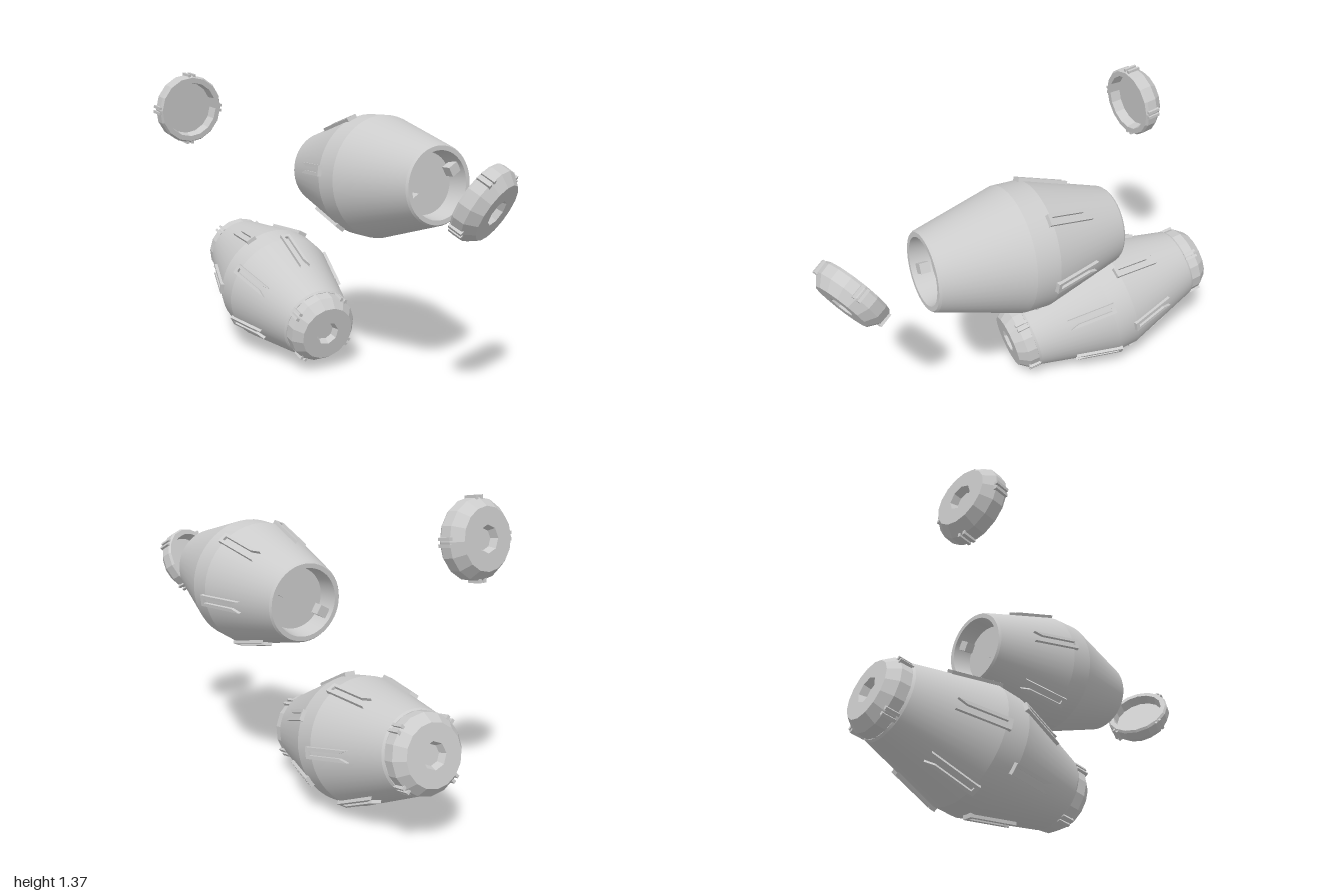
import * as THREE from 'three';
import { toCreasedNormals } from 'three/addons/utils/BufferGeometryUtils.js';

const rad = THREE.MathUtils.degToRad;
const material = new THREE.MeshStandardMaterial({ color: 0xcccccc });
const facetedMaterial = new THREE.MeshStandardMaterial({ color: 0xcccccc, flatShading: true });

// Barrel dimensions along its axis (local z)
const HALF = 0.44, BAND = 0.055, R_MID = 0.28, R_END = 0.175;
const SLOPE = Math.atan2(R_MID - R_END, HALF - BAND);

function addMesh(parent, name, geometry, mat = material) {
  const mesh = new THREE.Mesh(geometry, mat);
  mesh.name = name;
  parent.add(mesh);
  return mesh;
}

// Lathe around local z from [radius, z] pairs
function turned(points, sides) {
  return new THREE.LatheGeometry(points.map(p => new THREE.Vector2(...p)), sides).rotateX(Math.PI / 2);
}

// Point local z along dir, then roll around it
function pose(object, position, dir, rollDegrees) {
  const z = new THREE.Vector3(...dir).normalize();
  const x = new THREE.Vector3(0, 1, 0).cross(z).normalize();
  const y = z.clone().cross(x);
  object.quaternion.setFromRotationMatrix(new THREE.Matrix4().makeBasis(x, y, z));
  object.rotateZ(rad(rollDegrees));
  object.position.set(...position);
}

// Raised channel with a closed wide end and a fishtail narrow end
function gripGeometry() {
  const outline = [
    [-0.025, -0.118], [0.025, -0.118], [0.025, 0.118], [0.01, 0.075],
    [0.01, -0.1], [-0.01, -0.1], [-0.01, 0.075], [-0.025, 0.118],
  ];
  const shape = new THREE.Shape(outline.map(p => new THREE.Vector2(...p)));
  return new THREE.ExtrudeGeometry(shape, { depth: 0.03, bevelEnabled: false }).translate(0, 0, -0.018);
}

// Six grips around one half; side is +1 for the front half, -1 for the back
function addGrips(parent, side, startDegrees) {
  const s = 0.15;
  const r = R_MID - (s - BAND) * Math.tan(SLOPE);
  for (let i = 0; i < 6; i++) {
    const a = rad(startDegrees + i * 60);
    const radial = new THREE.Vector3(Math.cos(a), Math.sin(a), 0);
    const axis = new THREE.Vector3(0, 0, side);
    const along = axis.clone().multiplyScalar(Math.cos(SLOPE)).addScaledVector(radial, -Math.sin(SLOPE));
    const out = radial.clone().multiplyScalar(Math.cos(SLOPE)).addScaledVector(axis, Math.sin(SLOPE));
    const grip = addMesh(parent, 'gripChannel', gripGeometry(), facetedMaterial);
    const basis = new THREE.Matrix4().makeBasis(along.clone().cross(out), along, out);
    grip.quaternion.setFromRotationMatrix(basis);
    grip.position.copy(radial).multiplyScalar(r).addScaledVector(axis, s);
  }
}

function createBarrel(name, gripFront) {
  const barrel = new THREE.Group();
  barrel.name = name;
  // Double-tapered shell with a recess at both ends
  const half = [[0, HALF - 0.09], [0.135, HALF - 0.09], [0.148, HALF], [0.168, HALF], [R_END, HALF - 0.01], [R_MID, BAND]];
  const profile = [...half.map(([r, z]) => [r, -z]), ...half.reverse()];
  addMesh(barrel, 'barrelShell', toCreasedNormals(turned(profile, 48), 0.2));
  // Locking lugs inside the recesses
  for (const side of [1, -1]) {
    for (const degrees of [38, 218]) {
      const a = rad(degrees);
      const lug = addMesh(barrel, 'lockingLug', new THREE.BoxGeometry(0.05, 0.045, 0.045));
      lug.position.set(0.12 * Math.cos(a), 0.12 * Math.sin(a), side * (HALF - 0.045));
      lug.rotation.z = a;
    }
  }
  addGrips(barrel, -1, 0);
  if (gripFront) addGrips(barrel, 1, 30);
  return barrel;
}

// Hollow cap: open rim at z = 0, outer face at z = 0.105
function createCap(name) {
  const cap = new THREE.Group();
  cap.name = name;
  const shell = [[0, 0.05], [0.128, 0.05], [0.135, 0], [0.16, 0], [0.168, 0.012], [0.166, 0.06], [0.13, 0.105], [0.066, 0.105]];
  addMesh(cap, 'capShell', turned(shell, 16), facetedMaterial);
  // Octagonal socket in the outer face
  addMesh(cap, 'capSocket', turned([[0.076, 0.105], [0.057, 0.105], [0.044, 0.075], [0, 0.075]], 8), facetedMaterial);
  // Paired ribs at four points around the side
  for (let i = 0; i < 4; i++) {
    const ribs = new THREE.Group();
    ribs.name = 'ribPair';
    ribs.rotation.z = i * Math.PI / 2;
    for (const y of [-0.013, 0.013]) {
      addMesh(ribs, 'rib', new THREE.BoxGeometry(0.024, 0.013, 0.062)).position.set(0.163, y, 0.037);
    }
    cap.add(ribs);
  }
  return cap;
}

export function createModel() {
  const model = new THREE.Group();
  model.name = 'barrelsAndCaps';

  // Lower barrel, closed by a cap at each end
  const closed = new THREE.Group();
  closed.name = 'closedBarrel';
  closed.add(createBarrel('lowerBarrel', true));
  const frontCap = createCap('frontCap');
  pose(frontCap, [0, 0, HALF - 0.012], [0, 0, 1], 57);
  const backCap = createCap('backCap');
  pose(backCap, [0, 0, -HALF + 0.012], [0, 0, -1], 45);
  closed.add(frontCap, backCap);
  pose(closed, [0.01, 0.295, -0.455], [-0.11, -0.205, 0.97], 0);

  // Upper barrel, open at both ends
  const open = createBarrel('upperBarrel', false);
  pose(open, [0.175, 0.919, 0.135], [-0.04, 0.037, 0.87], -9);

  // Loose caps
  const looseFront = createCap('looseFrontCap');
  pose(looseFront, [0.1, 0.93, 0.835], [0.27, -0.47, 0.84], 40);
  const looseBack = createCap('looseBackCap');
  pose(looseBack, [-0.285, 1.182, -0.758], [0, 0.12, -0.99], 0);

  model.add(closed, open, looseFront, looseBack);
  return model;
}
